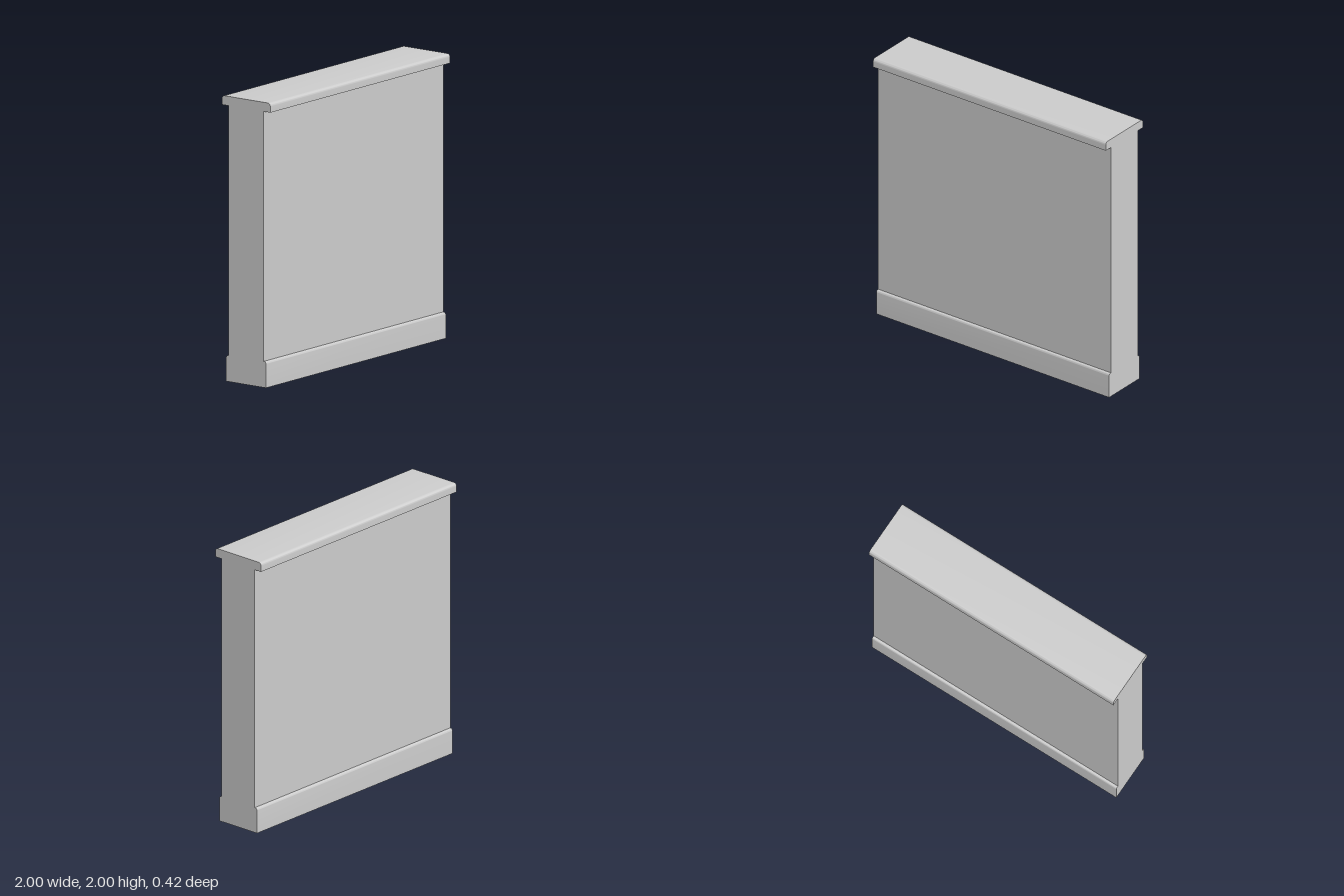
import * as THREE from 'three';
import { toCreasedNormals } from 'three/addons/utils/BufferGeometryUtils.js';

const LENGTH = 2;

// Cross-section from y0 to y1 with rounded top edges, run along x
function course(name, halfDepth, y0, y1, radius, material) {
  const s = new THREE.Shape();
  s.moveTo(-halfDepth, y0);
  s.lineTo(halfDepth, y0);
  if (radius > 0) {
    s.lineTo(halfDepth, y1 - radius);
    s.absarc(halfDepth - radius, y1 - radius, radius, 0, Math.PI / 2, false);
    s.lineTo(-halfDepth + radius, y1);
    s.absarc(-halfDepth + radius, y1 - radius, radius, Math.PI / 2, Math.PI, false);
  } else {
    s.lineTo(halfDepth, y1);
    s.lineTo(-halfDepth, y1);
  }
  s.closePath();
  const geometry = new THREE.ExtrudeGeometry(s, { depth: LENGTH, bevelEnabled: false, curveSegments: 4 });
  geometry.translate(0, 0, -LENGTH / 2);
  geometry.rotateY(Math.PI / 2);
  const mesh = new THREE.Mesh(toCreasedNormals(geometry, 0.6), material);
  mesh.name = name;
  return mesh;
}

export function createModel() {
  const group = new THREE.Group();
  group.name = 'wallSection';
  const stone = new THREE.MeshStandardMaterial({ color: 0xcccccc });
  stone.name = 'light grey stone';

  // Plinth, wall panel and overhanging coping, stacked
  group.add(
    course('plinth', 0.173, 0, 0.183, 0.016, stone),
    course('wallPanel', 0.152, 0.183, 1.935, 0, stone),
    course('coping', 0.21, 1.935, 2, 0.022, stone)
  );
  return group;
}
